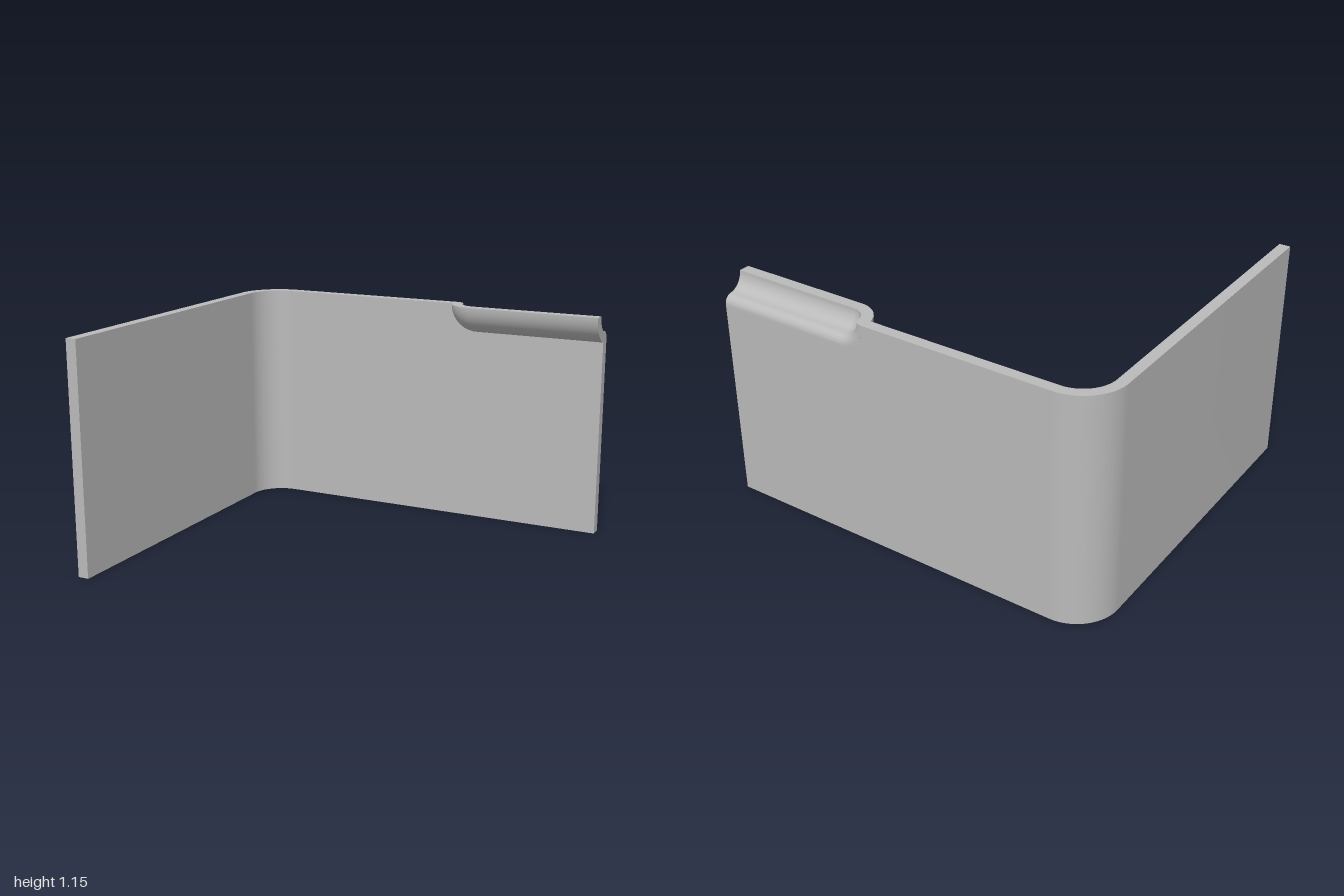
import * as THREE from 'three';
import { toCreasedNormals, mergeVertices } from 'three/addons/utils/BufferGeometryUtils.js';

const H = 1.15, BACK = -0.885, T = 0.055; // height, back plane, sheet thickness
const CX = 0.32, CZ = -0.865;             // centre of the rounded end of the lip
const R = 0.145, RI = 0.09, EDGE = 0.141; // lip outer and inner radius, notch radius

// Lip cross-section as (distance from axis, z): back fillet, inner arc, rim, outer arc
function lipProfile() {
  const pts = [[EDGE, BACK]];
  const f = 0.045, n = 12;
  for (let i = 0; i <= n; i++) {
    const a = (i / n) * Math.PI / 2;
    pts.push([0.13 - f * Math.sin(a), BACK + f - f * Math.cos(a)]);
  }
  const a0 = Math.asin((BACK + f - CZ) / RI);
  for (let i = 1; i <= n; i++) {
    const a = a0 + (i / n) * (Math.PI / 2 - a0);
    pts.push([i === n ? 0 : RI * Math.cos(a), CZ + RI * Math.sin(a)]);
  }
  const a1 = Math.acos(EDGE / R);
  for (let i = 0; i <= n; i++) {
    const a = Math.PI / 2 - (i / n) * (Math.PI / 2 - a1);
    pts.push([i === 0 ? 0 : R * Math.cos(a), CZ + R * Math.sin(a)]);
  }
  return pts;
}

// Sweep the profile a quarter turn, then straight to the open end
function lipSurface(profile) {
  const turns = 20, pos = [], idx = [], n = profile.length;
  for (let j = 0; j <= turns + 1; j++) {
    const a = Math.min(j / turns, 1) * Math.PI / 2;
    for (const [r, z] of profile) {
      pos.push(j > turns ? 1 : CX - r * Math.cos(a), H - r * Math.sin(a), z);
    }
  }
  for (let j = 0; j <= turns; j++) {
    for (let i = 0; i < n - 1; i++) {
      if (j < turns && profile[i][0] === 0 && profile[i + 1][0] === 0) continue;
      const a = j * n + i, b = a + n;
      idx.push(a, a + 1, b, a + 1, b + 1, b);
    }
  }
  const g = new THREE.BufferGeometry();
  g.setAttribute('position', new THREE.Float32BufferAttribute(pos, 3));
  g.setIndex(idx);
  return toCreasedNormals(mergeVertices(g), 0.6);
}

export function createModel() {
  const group = new THREE.Group();
  const grey = new THREE.MeshStandardMaterial({ color: 0xbababa });
  grey.name = 'plain grey';
  const add = (name, geometry) => {
    const mesh = new THREE.Mesh(geometry, grey);
    mesh.name = name;
    group.add(mesh);
  };

  // Side wall, rounded corner and the plain half of the back wall
  const plan = new THREE.Shape();
  plan.moveTo(-1, BACK);
  plan.lineTo(-1 + T, BACK);
  plan.lineTo(-1 + T, 0.665);
  plan.absarc(-0.78, 0.665, 0.22 - T, Math.PI, Math.PI / 2, true);
  plan.lineTo(0, -BACK - T);
  plan.lineTo(0, -BACK);
  plan.absarc(-0.78, 0.665, 0.22, Math.PI / 2, Math.PI, false);
  const bent = new THREE.ExtrudeGeometry(plan, { depth: H, bevelEnabled: false, curveSegments: 24 });
  add('bentWall', toCreasedNormals(bent.rotateX(-Math.PI / 2), 0.6));

  // Other half of the back wall, notched where the lip sits
  const face = new THREE.Shape();
  face.moveTo(0, 0);
  face.lineTo(1, 0);
  face.lineTo(1, H - EDGE);
  face.lineTo(CX, H - EDGE);
  face.absarc(CX, H, EDGE, -Math.PI / 2, -Math.PI, true);
  face.lineTo(0, H);
  const notched = new THREE.ExtrudeGeometry(face, { depth: T, bevelEnabled: false, curveSegments: 20 });
  add('notchedWall', toCreasedNormals(notched.translate(0, 0, BACK), 0.6));

  // Pressed lip with its flat top and open end
  const profile = lipProfile();
  add('lip', lipSurface(profile));
  const cap = (map) => new THREE.ShapeGeometry(
    new THREE.Shape(profile.map(([r, z]) => new THREE.Vector2(...map(r, z)))));
  add('lipTop', cap((r, z) => [CX - r, -z]).rotateX(-Math.PI / 2).translate(0, H, 0));
  add('lipEnd', cap((r, z) => [-z, H - r]).rotateY(Math.PI / 2).translate(1, 0, 0));

  return group;
}
